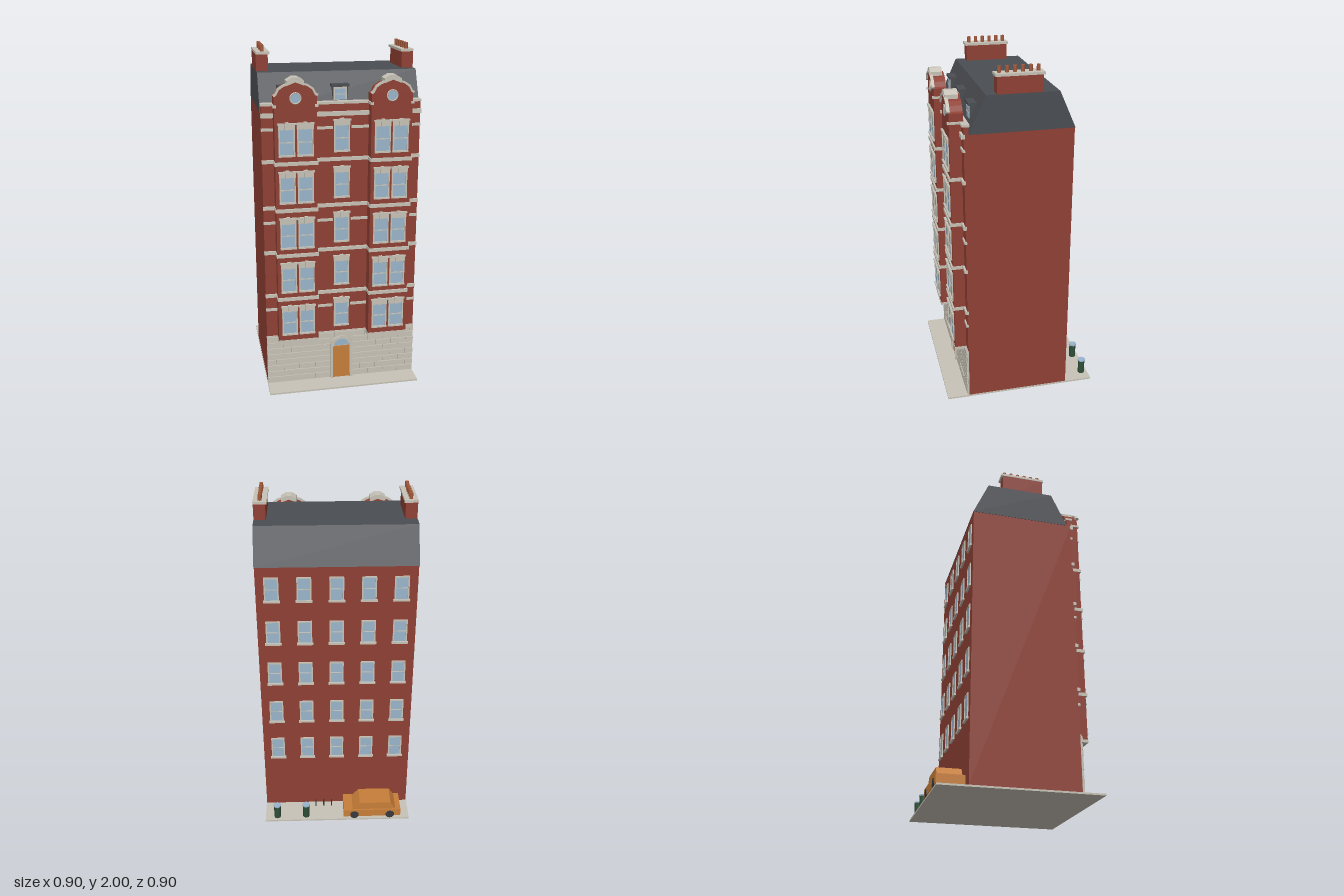
import * as THREE from 'three';

const mat = (name, color) => {
  const m = new THREE.MeshStandardMaterial({ color });
  m.name = name;
  return m;
};

export function createModel() {
  const brick = mat('brick', 0x8f4034), stone = mat('stone', 0xc8c3b7), slate = mat('slate', 0x4a4d52);
  const glass = mat('glass', 0x9ab5cb), orange = mat('orange', 0xc77e39), clay = mat('clay', 0xa65a3c);
  const green = mat('binGreen', 0x2f5039), dark = mat('darkMetal', 0x353a40);
  const root = new THREE.Group();
  root.name = 'townhouse';

  const group = (name, parent = root) => {
    const g = new THREE.Group();
    g.name = name;
    parent.add(g);
    return g;
  };
  const add = (name, geo, m, parent = root) => {
    const o = new THREE.Mesh(geo, m);
    o.name = name;
    parent.add(o);
    return o;
  };
  // box given by its extents
  const box = (name, m, x0, x1, y0, y1, z0, z1, parent) => {
    const o = add(name, new THREE.BoxGeometry(x1 - x0, y1 - y0, z1 - z0), m, parent);
    o.position.set((x0 + x1) / 2, (y0 + y1) / 2, (z0 + z1) / 2);
    return o;
  };
  const cyl = (name, m, r, h, x, y, z, sides, parent) => {
    const o = add(name, new THREE.CylinderGeometry(r, r, h, sides), m, parent);
    o.position.set(x, y + h / 2, z);
    return o;
  };
  const poly = pts => new THREE.Shape(pts.map(p => new THREE.Vector2(p[0], p[1])));
  const extrude = (shape, z0, z1) =>
    new THREE.ExtrudeGeometry(shape, { depth: z1 - z0, bevelEnabled: false, curveSegments: 12 }).translate(0, 0, z0);

  const WALL = 0.322, BAY = 0.388, BACK = -0.285, BAYX = 0.267;

  // pavement and main walls
  box('pavement', stone, -0.45, 0.45, 0, 0.01, -0.45, 0.45);
  box('walls', brick, -0.448, 0.448, 0.01, 1.655, BACK, WALL);
  box('parapet', brick, -0.448, 0.448, 1.655, 1.697, 0.295, WALL);
  box('parapetCoping', stone, -0.45, 0.45, 1.697, 1.71, 0.29, 0.332);

  // mansard roof
  const roof = poly([[-0.288, 1.655], [0.295, 1.655], [0.2, 1.86], [-0.197, 1.86]]);
  add('mansardRoof', extrude(roof, -0.45, 0.45).rotateY(-Math.PI / 2), slate);

  // stone ground floor with staggered blocks, open around the doorway
  const ground = group('groundFloor');
  box('groundFacing', stone, -0.45, 0.45, 0.01, 0.322, 0.32, 0.327, ground);
  for (let r = 0; r < 8; r++) {
    const y = 0.016 + r * 0.038, start = r < 7 ? 0.07 : 0;
    for (const s of [-1, 1]) {
      for (let x = start - (r % 2) * 0.048; x < 0.44; x += 0.095) {
        const a = Math.max(x, start), b = Math.min(x + 0.091, 0.45);
        box('block', stone, Math.min(a * s, b * s), Math.max(a * s, b * s), y, y + 0.033, 0.325, 0.333, ground);
      }
    }
  }
  for (const s of [-1, 1])
    box('vent', stone, s * 0.287 - 0.062, s * 0.287 + 0.062, 0.08, 0.091, 0.325, 0.338, ground);

  // door, fanlight and arched surround
  const door = group('entrance');
  box('door', orange, -0.052, 0.052, 0.01, 0.22, 0.325, 0.332, door);
  const fan = new THREE.CircleGeometry(0.046, 16, 0, Math.PI);
  add('fanlight', fan, glass, door).position.set(0, 0.224, 0.331);
  const arch = new THREE.Shape();
  arch.moveTo(-0.068, 0.01).lineTo(-0.052, 0.01).lineTo(-0.052, 0.22);
  arch.absarc(0, 0.222, 0.05, Math.PI, 0, true);
  arch.lineTo(0.052, 0.01).lineTo(0.068, 0.01).lineTo(0.068, 0.22);
  arch.absarc(0, 0.222, 0.068, 0, Math.PI, false);
  add('doorSurround', extrude(arch, 0.325, 0.342), stone, door);

  // front sash window with sill, jambs and keystoned lintel; y is the sill bottom
  const sash = (x, y, z) => {
    const g = group('frontWindow');
    g.position.set(x, y, z);
    box('glass', glass, -0.038, 0.038, 0.01, 0.152, -0.01, 0.002, g);
    box('sill', stone, -0.046, 0.046, 0, 0.01, -0.005, 0.012, g);
    for (const s of [-1, 1]) box('jamb', stone, s * 0.041 - 0.004, s * 0.041 + 0.004, 0.01, 0.15, -0.005, 0.007, g);
    box('meetingRail', stone, -0.038, 0.038, 0.076, 0.082, -0.005, 0.005, g);
    box('lintel', stone, -0.046, 0.046, 0.15, 0.176, -0.005, 0.008, g);
    box('hood', stone, -0.05, 0.05, 0.176, 0.186, -0.005, 0.012, g);
    box('keystone', stone, -0.01, 0.01, 0.15, 0.191, -0.005, 0.014, g);
  };
  for (let i = 0; i < 5; i++) {
    const y = 0.355 + i * 0.268;
    sash(0, y, WALL);
    for (const s of [-1, 1]) for (const d of [-0.051, 0.051]) sash(s * BAYX + d, y, BAY);
  }

  // projecting bays, each ending in a curved gable
  const half = [[0.116, 1.755], [0.104, 1.762], [0.09, 1.79], [0.065, 1.808], [0, 1.832]];
  const mirrored = half.slice(0, -1).reverse().map(p => [-p[0], p[1]]);
  const crown = [...half, ...mirrored];
  const grown = crown.map(([x, y]) => [x * 1.07, y + 0.01]);
  for (const s of [-1, 1]) {
    const bay = group('bay');
    bay.position.x = s * BAYX;
    add('bayWall', extrude(poly([[-0.116, 0.32], [0.116, 0.32], ...crown]), 0.31, BAY), brick, bay);
    box('bayBase', stone, -0.118, 0.118, 0.303, 0.32, 0.32, 0.39, bay);
    add('gableMoulding', extrude(poly([...grown, ...crown.slice().reverse()]), 0.38, 0.398), stone, bay);
    const cap = poly([[-0.047, 1.812], [0, 1.83], [0.047, 1.812], [0.047, 1.838], [0.016, 1.856], [-0.016, 1.856], [-0.047, 1.838]]);
    add('gableCap', extrude(cap, 0.322, 0.395), stone, bay);
    for (const e of [-1, 1])
      box('gableFoot', stone, e * 0.114 - 0.009, e * 0.114 + 0.009, 1.697, 1.71, 0.32, 0.397, bay);
    add('roundWindow', new THREE.CircleGeometry(0.028, 20), glass, bay).position.set(0, 1.745, BAY + 0.003);
    add('roundFrame', new THREE.TorusGeometry(0.029, 0.004, 6, 20), stone, bay).position.set(0, 1.745, BAY + 0.002);
    for (let i = 0; i < 4; i++) {
      const y = 0.573 + i * 0.268;
      box('bayBand', stone, -0.12, 0.12, y, y + 0.02, 0.32, 0.397, bay);
    }
  }

  // string courses on the flat wall
  const bands = group('stringCourses');
  for (let i = 0; i < 4; i++) {
    const y = 0.573 + i * 0.268;
    box('course', stone, -0.45, 0.45, y, y + 0.02, 0.315, 0.333, bands);
  }
  box('cornice', stone, -0.45, 0.45, 1.632, 1.656, 0.315, 0.335, bands);
  for (const y of [0.487, 1.023, 1.559])
    for (const s of [-1, 1])
      box('thinCourse', stone, s * 0.2515 - 0.1985, s * 0.2515 + 0.1985, y, y + 0.015, 0.315, 0.33, bands);

  // rear windows
  for (let i = 0; i < 5; i++)
    for (let j = -2; j <= 2; j++) {
      const g = group('rearWindow');
      g.position.set(j * 0.18, 0.38 + i * 0.268, BACK);
      box('glass', glass, -0.034, 0.034, 0.005, 0.138, -0.002, 0.005, g);
      box('sill', stone, -0.047, 0.047, -0.006, 0.006, -0.012, 0.005, g);
      box('head', stone, -0.04, 0.04, 0.136, 0.145, -0.006, 0.005, g);
      for (const s of [-1, 1]) box('jamb', stone, s * 0.037 - 0.004, s * 0.037 + 0.004, 0, 0.14, -0.006, 0.005, g);
      box('rail', stone, -0.034, 0.034, 0.07, 0.074, -0.004, 0.005, g);
    }

  // dormers
  for (const x of [-0.3, 0, 0.3]) {
    const g = group('dormer');
    g.position.x = x;
    box('dormerBody', slate, -0.043, 0.043, 1.67, 1.782, 0.22, 0.268, g);
    box('dormerRoof', slate, -0.051, 0.051, 1.782, 1.796, 0.215, 0.276, g);
    box('dormerFrame', stone, -0.038, 0.038, 1.69, 1.78, 0.265, 0.27, g);
    box('dormerGlass', glass, -0.03, 0.03, 1.71, 1.77, 0.265, 0.272, g);
    box('dormerRail', stone, -0.03, 0.03, 1.738, 1.743, 0.265, 0.274, g);
  }

  // chimney stacks with six pots each
  for (const s of [-1, 1]) {
    const g = group('chimney');
    g.position.x = s * 0.412;
    box('stack', brick, -0.031, 0.036, 1.8, 1.952, -0.105, 0.143, g);
    g.children[0].position.x = s * 0.004;
    box('stackCap', stone, -0.038, 0.038, 1.952, 1.966, -0.115, 0.151, g);
    for (let i = 0; i < 6; i++) cyl('pot', clay, 0.0105, 0.034, 0, 1.966, -0.087 + i * 0.042, 10, g);
  }

  // parked car behind the house
  const car = group('car');
  box('carBody', orange, -0.396, -0.04, 0.024, 0.073, -0.445, -0.292, car);
  const cabin = poly([[-0.365, 0.072], [-0.095, 0.072], [-0.14, 0.121], [-0.333, 0.121]]);
  add('cabin', extrude(cabin, -0.435, -0.3), orange, car);
  for (const x of [-0.33, -0.107])
    for (const z of [-0.437, -0.3])
      cyl('wheel', dark, 0.027, 0.022, x, 0.037 - 0.011, z, 10, car).rotation.x = Math.PI / 2;

  // bins and bollards
  for (const x of [0.195, 0.375]) {
    const g = group('bin');
    cyl('binBody', green, 0.021, 0.085, x, 0.01, -0.413, 8, g);
    cyl('binLid', glass, 0.024, 0.008, x, 0.095, -0.413, 8, g);
  }
  for (const x of [0.033, 0.083, 0.133]) cyl('bollard', dark, 0.004, 0.05, x, 0.01, -0.323, 6);

  return root;
}
